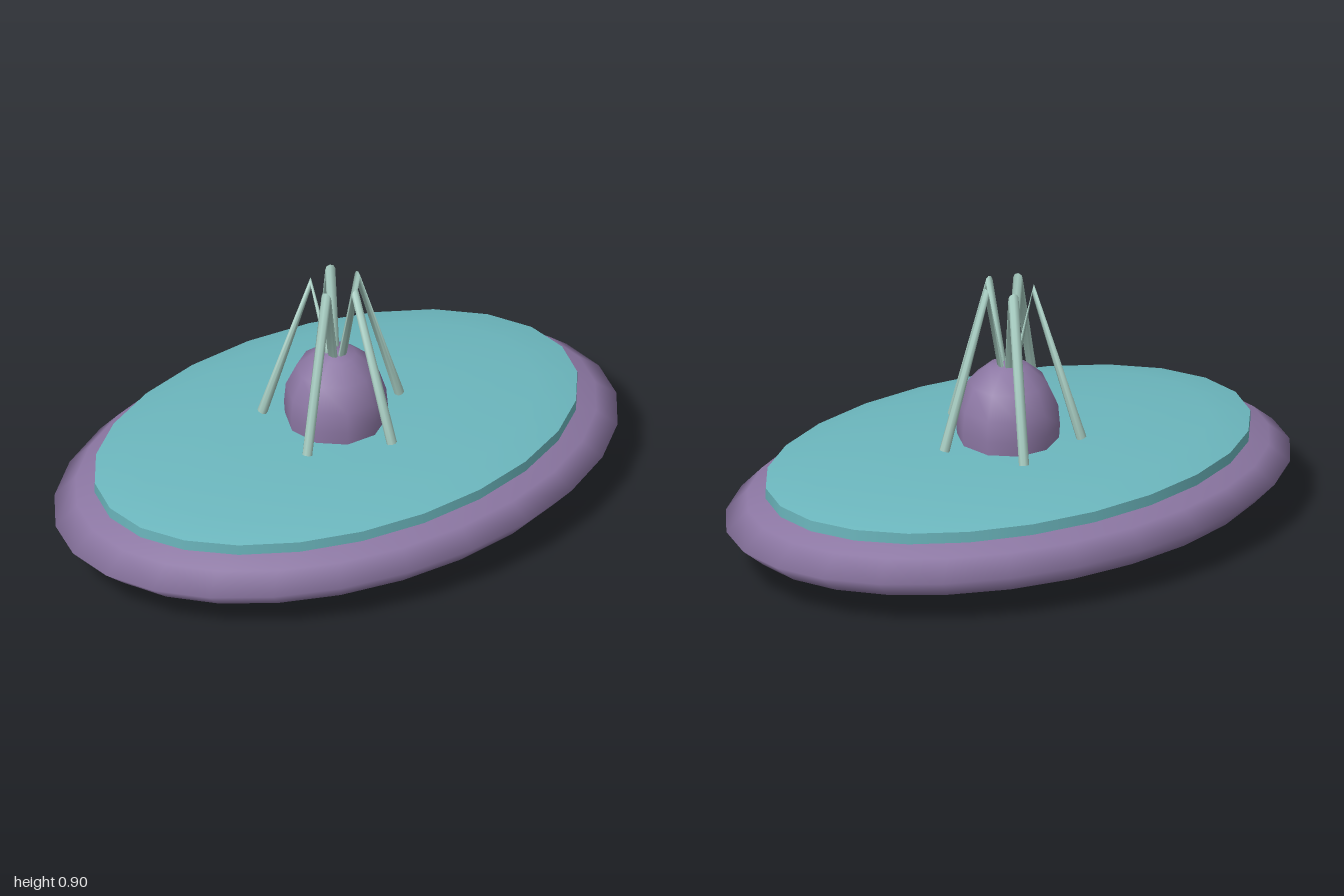
import * as THREE from 'three';

const purple = new THREE.MeshStandardMaterial({ color: 0x8c77a3 });
purple.name = 'purple';
const teal = new THREE.MeshStandardMaterial({ color: 0x6cb7be });
teal.name = 'teal';
const paleGreen = new THREE.MeshStandardMaterial({ color: 0xa6cbc0, side: THREE.DoubleSide });
paleGreen.name = 'paleGreen';

const profile = (pairs) => pairs.map(([r, y]) => new THREE.Vector2(r, y));

export function createModel() {
  const model = new THREE.Group();
  const add = (name, geometry, material) => {
    const mesh = new THREE.Mesh(geometry, material);
    mesh.name = name;
    model.add(mesh);
    return mesh;
  };

  // Flattened oval body
  const hull = new THREE.SphereGeometry(1, 26, 8).scale(1, 0.17, 0.66).translate(0, 0.173, 0);
  add('hull', hull, purple);

  // Oval deck: upright rim with a shallow crown
  const rim = new THREE.CylinderGeometry(1, 1, 0.038, 24).scale(0.86, 1, 0.555).translate(0, 0.284, 0);
  add('deckRim', rim, teal);
  const crown = new THREE.LatheGeometry(
    profile([[1, 0.303], [0.83, 0.331], [0.46, 0.35], [0, 0.356]]), 24
  ).scale(0.86, 1, 0.555);
  add('deckCrown', crown, teal);

  // Central dome
  const dome = new THREE.LatheGeometry(
    profile([[0.166, 0.34], [0.17, 0.40], [0.164, 0.47], [0.128, 0.55], [0.065, 0.605], [0, 0.618]]),
    10, Math.PI / 2
  );
  add('dome', dome, purple);

  // Five bent struts, each rising to a tip and folding back into the dome
  const path = new THREE.CatmullRomCurve3([
    new THREE.Vector3(0.24, 0.355, 0),
    new THREE.Vector3(0.08, 0.883, 0),
    new THREE.Vector3(-0.025, 0.345, 0),
  ]);
  const strut = new THREE.TubeGeometry(path, 2, 0.017, 8);
  for (let i = 0; i < 5; i++) {
    add('strut' + (i + 1), strut, paleGreen).rotation.y = (i * Math.PI * 2) / 5;
  }

  return model;
}
